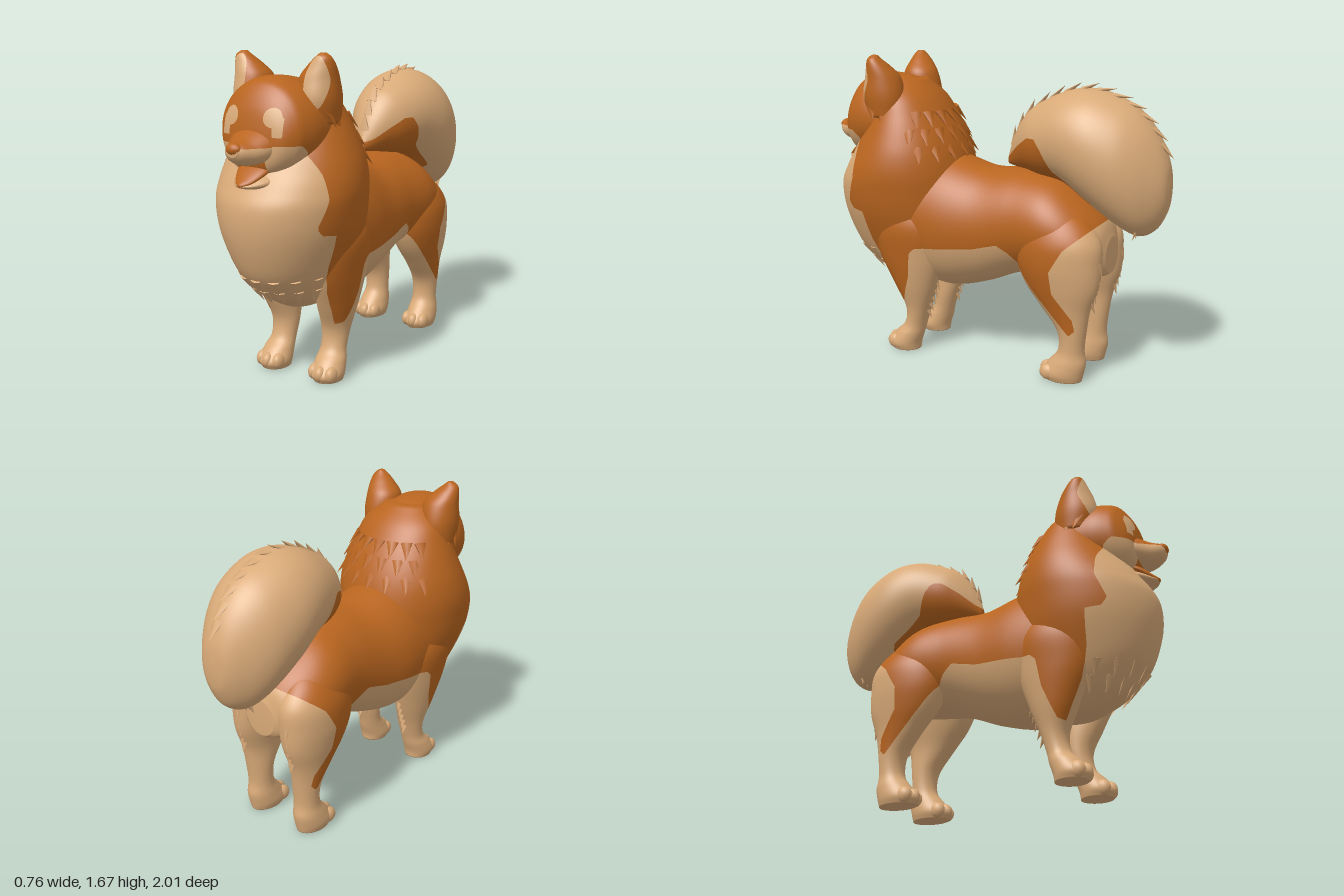
import * as THREE from 'three';
import { mergeGeometries } from 'three/addons/utils/BufferGeometryUtils.js';

const orange = new THREE.MeshStandardMaterial({ color: 0xb9651f });
orange.name = 'orangeFur';
const cream = new THREE.MeshStandardMaterial({ color: 0xd9aa78 });
cream.name = 'creamFur';

// Side outline (z, y) of the orange coat; everything outside it is cream
const coat = [
  [0.8, 1.9], [0.8, 1.28], [0.77, 1.26], [0.72, 1.22], [0.7, 1.12], [0.7, 1.0], [0.75, 0.87], [0.72, 0.83], [0.64, 0.82],
  [0.62, 0.65], [0.57, 0.5], [0.47, 0.3], [0.44, 0.31], [0.38, 0.47], [0.36, 0.61], [0.33, 0.64], [0, 0.67],
  [-0.15, 0.71], [-0.21, 0.67], [-0.35, 0.5], [-0.56, 0.27], [-0.59, 0.3], [-0.58, 0.36], [-0.48, 0.5],
  [-0.47, 0.62], [-0.54, 0.74], [-0.68, 0.86], [-0.85, 1.0], [-0.85, 1.9],
];
const tailRoot = [
  [0, 1.1], [-0.13, 1.16], [-0.2, 1.22], [-0.28, 1.275], [-0.33, 1.275], [-0.37, 1.22], [-0.42, 1.11], [-0.62, 0.96],
  [-0.6, 0.8], [0, 0.9],
];

function inside(poly, z, y) {
  let hit = false;
  for (let i = 0, j = poly.length - 1; i < poly.length; j = i++) {
    const [zi, yi] = poly[i], [zj, yj] = poly[j];
    if (yi > y !== yj > y && z < ((zj - zi) * (y - yi)) / (yj - yi) + zi) hit = !hit;
  }
  return hit;
}

// Colour rules: true means orange
const coatRule = (x, y, z) => inside(coat, z, y) && (y > 0.64 || Math.abs(x) > 0.2);
const tailRule = (x, y, z) => inside(tailRoot, z, y);
const earRule = (x, y, z) => Math.hypot((Math.abs(x) - 0.232) / 0.055, (y - 1.535) / 0.125) > 1 || z < 0.595;
function headRule(x, y, z) {
  const ax = Math.abs(x);
  if (inside(coat, z, y)) return true;
  if (ax < 0.085 && y > 1.09 && y < 1.18) return true; // inside of the mouth
  const brow = Math.hypot(ax - 0.12, y - 1.385) < 0.045;
  const eyeEdge = ax > 0.125 && ax < 0.175 && y > 1.295 && y < 1.385;
  return y > 1.255 && !brow && !eyeEdge;
}

// Smooth loft of oval sections along 'y' or 'z', cut cleanly along the colour border.
// Row: [position, low, high, half width, centre x]; low/high run in z for axis y, in y for axis z.
function loft(name, axis, rows, rule, steps = 48, segs = 40, side = 1) {
  const curve = (f) => new THREE.CatmullRomCurve3(rows.map(f), false, 'catmullrom', 0.5);
  const span = curve((r) => new THREE.Vector3(r[0], r[1], r[2]));
  const wide = curve((r) => new THREE.Vector3(r[3], (r[4] || 0) * side, 0));
  const pts = [];
  const put = (x, t, v) => pts.push(axis === 'z' ? [x, v, t] : [x, t, v]);
  for (let i = 0; i <= steps; i++) {
    const s = span.getPoint(i / steps), w = wide.getPoint(i / steps);
    for (let j = 0; j < segs; j++) {
      const a = (j / segs) * Math.PI * 2;
      put(w.y + Math.max(w.x, 0.002) * Math.cos(a), s.x, (s.y + s.z) / 2 + ((s.z - s.y) / 2) * Math.sin(a));
    }
  }
  for (const r of [rows[0], rows[rows.length - 1]]) put((r[4] || 0) * side, r[0], (r[1] + r[2]) / 2);

  // Point where the colour changes on the edge a-b, found by halving and shared by both neighbours
  const hues = pts.map((p) => rule(...p));
  const cuts = new Map();
  const cut = (a, b) => {
    const key = Math.min(a, b) + '_' + Math.max(a, b);
    if (!cuts.has(key)) {
      let p = pts[a], q = pts[b];
      for (let k = 0; k < 10; k++) {
        const m = p.map((v, n) => (v + q[n]) / 2);
        if (rule(...m) === hues[a]) p = m;
        else q = m;
      }
      cuts.set(key, pts.push(p) - 1);
    }
    return cuts.get(key);
  };
  const flip = (axis === 'z') !== (rows[rows.length - 1][0] > rows[0][0]);
  const lists = [[], []];
  const add = (hue, a, b, c) => lists[hue ? 0 : 1].push(a, ...(flip ? [c, b] : [b, c]));
  const tri = (...t) => {
    const odd = t.findIndex((v, k) => hues[v] !== hues[t[(k + 1) % 3]] && hues[v] !== hues[t[(k + 2) % 3]]);
    if (odd < 0) return add(hues[t[0]], ...t);
    const a = t[odd], b = t[(odd + 1) % 3], c = t[(odd + 2) % 3], ab = cut(a, b), ac = cut(a, c);
    add(hues[a], a, ab, ac);
    add(hues[b], ab, b, c);
    add(hues[b], ab, c, ac);
  };
  const first = (steps + 1) * segs;
  for (let j = 0; j < segs; j++) {
    const n = (j + 1) % segs;
    for (let i = 0; i < steps; i++) {
      const a = i * segs, b = a + segs;
      tri(a + j, a + n, b + j);
      tri(a + n, b + n, b + j);
    }
    tri(first, n, j);
    tri(first + 1, steps * segs + j, steps * segs + n);
  }
  const geo = new THREE.BufferGeometry();
  geo.setAttribute('position', new THREE.Float32BufferAttribute(pts.flat(), 3));
  geo.setIndex(lists[0].concat(lists[1]));
  geo.addGroup(0, lists[0].length, 0);
  geo.addGroup(lists[0].length, lists[1].length, 1);
  geo.computeVertexNormals();
  const mesh = new THREE.Mesh(geo, [orange, cream]);
  mesh.name = name;
  return mesh;
}

function ball(name, material, p, s) {
  const mesh = new THREE.Mesh(new THREE.SphereGeometry(1, 16, 10), material);
  mesh.name = name;
  mesh.position.set(...p);
  mesh.scale.set(...s);
  return mesh;
}

// Flat pointed lock of fur, base at p, leaning along dir and facing out
function tuft(p, dir, out, length = 0.08, width = 0.026) {
  const geo = new THREE.ConeGeometry(width, length, 6).scale(1, 1, 0.4).translate(0, length * 0.25, 0);
  const d = new THREE.Vector3(...dir).normalize();
  const x = d.clone().cross(new THREE.Vector3(...out)).normalize();
  return geo.applyMatrix4(new THREE.Matrix4().makeBasis(x, d, x.clone().cross(d))).translate(...p);
}
function tufts(name, material, list) {
  const mesh = new THREE.Mesh(mergeGeometries(list), material);
  mesh.name = name;
  return mesh;
}

export function createModel() {
  const dog = new THREE.Group();
  dog.name = 'dog';

  // Trunk, ruff and tail
  const tailRows = [
    [-0.995, 1.0, 1.08, 0.02], [-0.98, 0.92, 1.18, 0.08], [-0.93, 0.83, 1.3, 0.14], [-0.85, 0.79, 1.405, 0.205],
    [-0.75, 0.83, 1.475, 0.25], [-0.6, 0.93, 1.525, 0.268], [-0.45, 1.03, 1.515, 0.24], [-0.3, 1.06, 1.45, 0.185],
    [-0.22, 1.08, 1.39, 0.135], [-0.15, 1.09, 1.28, 0.075], [-0.1, 1.1, 1.15, 0.015],
  ];
  dog.add(
    loft('torso', 'z', [
      [-0.7, 0.57, 0.76, 0.09], [-0.66, 0.55, 0.86, 0.18], [-0.55, 0.55, 0.97, 0.26], [-0.4, 0.54, 1.06, 0.29],
      [-0.2, 0.51, 1.085, 0.275], [0, 0.43, 1.08, 0.283], [0.2, 0.38, 1.13, 0.31], [0.4, 0.4, 1.16, 0.31],
    ], coatRule, 64, 64),
    loft('ruff', 'y', [
      [0.365, 0.42, 0.48, 0.012], [0.385, 0.32, 0.57, 0.085], [0.43, 0.22, 0.66, 0.15], [0.5, 0.16, 0.76, 0.215],
      [0.62, 0.13, 0.86, 0.278], [0.8, 0.13, 0.92, 0.347], [0.95, 0.14, 0.925, 0.376], [1.05, 0.155, 0.88, 0.38],
      [1.15, 0.18, 0.82, 0.362], [1.25, 0.22, 0.765, 0.327], [1.35, 0.275, 0.715, 0.285],
      [1.45, 0.345, 0.68, 0.235], [1.535, 0.44, 0.66, 0.14],
    ], coatRule, 72, 64),
    loft('tail', 'z', tailRows, tailRule, 64, 56),
  );

  // Head, muzzle and open mouth
  dog.add(
    loft('skull', 'z', [
      [0.38, 1.2, 1.46, 0.16], [0.5, 1.1, 1.54, 0.255], [0.65, 1.08, 1.565, 0.27], [0.75, 1.08, 1.55, 0.248],
      [0.8, 1.09, 1.505, 0.218], [0.84, 1.12, 1.43, 0.17], [0.86, 1.16, 1.35, 0.1], [0.868, 1.2, 1.28, 0.03],
    ], headRule, 72, 72),
    loft('muzzle', 'z', [
      [0.78, 1.165, 1.37, 0.16], [0.86, 1.16, 1.325, 0.125], [0.92, 1.165, 1.29, 0.088],
      [0.965, 1.185, 1.275, 0.058], [0.988, 1.21, 1.26, 0.03],
    ], (x, y) => y > 1.25, 32, 40),
    loft('lowerJaw', 'z', [
      [0.74, 1.05, 1.15, 0.14], [0.85, 1.045, 1.115, 0.105], [0.91, 1.053, 1.085, 0.055], [0.935, 1.062, 1.075, 0.02],
    ], () => false, 16, 24),
    loft('tongue', 'z', [
      [0.78, 1.13, 1.19, 0.1], [0.85, 1.095, 1.155, 0.085], [0.91, 1.068, 1.105, 0.048], [0.942, 1.065, 1.08, 0.012],
    ], () => true, 16, 24),
    ball('nose', orange, [0, 1.248, 0.968], [0.044, 0.03, 0.032]),
  );

  for (const side of [-1, 1]) {
    const word = side > 0 ? 'left' : 'right';
    // Ear with pale inner face
    dog.add(loft(word + 'Ear', 'y', [
      [1.34, 0.46, 0.65, 0.08, 0.205], [1.45, 0.45, 0.685, 0.1, 0.2], [1.55, 0.475, 0.67, 0.098, 0.197],
      [1.61, 0.52, 0.65, 0.072, 0.22], [1.65, 0.56, 0.635, 0.043, 0.238], [1.672, 0.58, 0.615, 0.015, 0.238],
    ], earRule, 32, 36, side));

    // Legs, widening into shoulder and thigh
    dog.add(loft(word + 'FrontLeg', 'y', [
      [0, 0.39, 0.56, 0.075, 0.17], [0.04, 0.385, 0.575, 0.088, 0.17], [0.1, 0.365, 0.53, 0.08, 0.168],
      [0.16, 0.35, 0.475, 0.07, 0.162], [0.26, 0.32, 0.465, 0.08, 0.163], [0.4, 0.27, 0.53, 0.1, 0.18],
      [0.58, 0.22, 0.61, 0.11, 0.205], [0.75, 0.22, 0.62, 0.11, 0.222], [0.9, 0.3, 0.55, 0.06, 0.22],
    ], coatRule, 56, 40, side));
    dog.add(loft(word + 'HindLeg', 'y', [
      [0, -0.61, -0.4, 0.072, 0.17], [0.04, -0.62, -0.385, 0.085, 0.17], [0.1, -0.63, -0.43, 0.08, 0.17],
      [0.17, -0.62, -0.48, 0.07, 0.168], [0.28, -0.63, -0.47, 0.075, 0.17], [0.4, -0.65, -0.38, 0.09, 0.175],
      [0.52, -0.69, -0.285, 0.12, 0.172], [0.64, -0.7, -0.235, 0.145, 0.165], [0.76, -0.69, -0.24, 0.147, 0.157],
      [0.87, -0.61, -0.3, 0.11, 0.14], [0.95, -0.5, -0.38, 0.04, 0.12],
    ], coatRule, 60, 40, side));

    // Toes
    for (const [foot, z] of [['Front', 0.54], ['Hind', -0.42]]) {
      for (let i = -1; i <= 1; i++) {
        const x = side * 0.17 + i * 0.052;
        dog.add(ball(word + foot + 'Toe', cream, [x, 0.044, z - Math.abs(i) * 0.018], [0.031, 0.043, 0.045]));
      }
    }
  }

  // Fur locks on the tail ridge and under its tip
  const ridge = [];
  const top = new THREE.CatmullRomCurve3(tailRows.map((r) => new THREE.Vector3(0, r[2], r[0])));
  for (let i = 2; i < 15; i++) {
    const p = top.getPointAt(i / 15), t = top.getTangentAt(i / 15), out = [0, t.z, -t.y];
    ridge.push(tuft([0, p.y, p.z], [0, -t.y + t.z * 0.35, -t.z - t.y * 0.35], out, 0.1, 0.036));
  }
  for (let i = -2; i <= 2; i++) ridge.push(tuft([i * 0.04, 0.83, -0.85], [i * 0.2, -1, 0.3], [0, 0, -1], 0.07, 0.03));
  dog.add(tufts('tailTufts', cream, ridge));

  // Fur locks around the back of the ruff and below the ears
  const collar = [];
  for (let row = 0; row < 3; row++) {
    for (let i = -3; i <= 3; i++) {
      const a = i * 0.3 + (row % 2) * 0.15, y = 1.17 + row * 0.09;
      const rx = 0.355 - row * 0.035, zc = 0.5, rz = 0.307 - row * 0.035;
      const out = [Math.sin(a), 0.3, -Math.cos(a)];
      collar.push(tuft([out[0] * rx, y, zc + out[2] * rz], [out[0] * 0.6, -0.8, out[2] * 0.6], out, 0.1, 0.036));
    }
  }
  for (const s of [-1, 1]) {
    for (let i = 0; i < 4; i++) {
      collar.push(tuft([s * 0.275, 1.39 - i * 0.035, 0.6 - i * 0.06], [s * 0.35, -1, -0.3], [s, 0.3, 0], 0.1, 0.034));
    }
  }
  dog.add(tufts('ruffTufts', orange, collar));

  // Fur locks under the chest and behind the legs
  const fringe = [];
  for (const [y, rx, zc, rz] of [[0.5, 0.212, 0.46, 0.298], [0.57, 0.25, 0.48, 0.345]]) {
    for (let i = -3; i <= 3; i++) {
      const a = i * 0.36, out = [Math.sin(a), -0.7, Math.cos(a)];
      fringe.push(tuft([out[0] * rx, y, zc + out[2] * rz], [-out[0] * 0.5, -1, -out[2] * 0.75], out, 0.1, 0.032));
    }
  }
  for (const s of [-1, 1]) {
    for (let i = 0; i < 5; i++) {
      fringe.push(tuft([s * 0.165, 0.24 + i * 0.045, 0.33 - i * 0.014], [0, -0.9, -0.4], [0, 0, -1], 0.07, 0.026));
      fringe.push(tuft([s * 0.17, 0.44 + i * 0.05, -0.66 - i * 0.009], [0, -1, -0.25], [0, 0, -1], 0.07, 0.028));
    }
  }
  dog.add(tufts('fringeTufts', cream, fringe));
  return dog;
}
